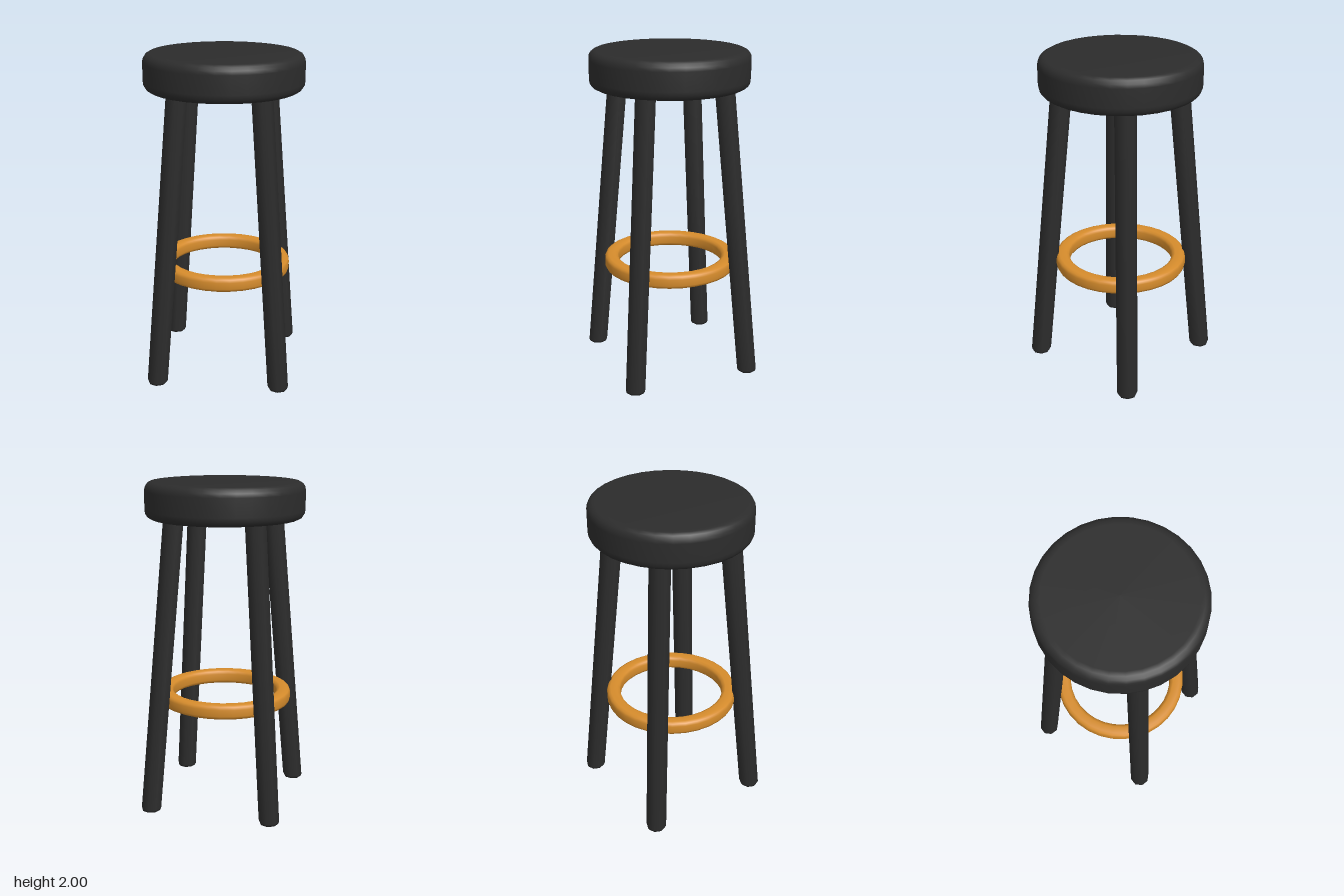
import * as THREE from 'three';

const black = new THREE.MeshStandardMaterial({ color: 0x2c2c2c });
black.name = 'matte black';
const amber = new THREE.MeshStandardMaterial({ color: 0xd68c2c });
amber.name = 'amber';

function lathe(name, points, segments, material) {
  const profile = points.map(([r, y]) => new THREE.Vector2(r, y));
  const mesh = new THREE.Mesh(new THREE.LatheGeometry(profile, segments), material);
  mesh.name = name;
  return mesh;
}

export function createModel() {
  const model = new THREE.Group();
  model.name = 'barStool';

  // Round seat with softened rims
  model.add(lathe('seat', [
    [0, 1.78], [0.42, 1.78], [0.445, 1.782], [0.465, 1.793], [0.477, 1.812], [0.48, 1.835],
    [0.48, 1.945], [0.477, 1.968], [0.465, 1.987], [0.445, 1.998], [0.42, 2], [0, 2],
  ], 32, black));

  // Four eight-sided legs, splayed outwards along the diagonals
  const top = 1.82;
  for (const sx of [-1, 1]) {
    for (const sz of [-1, 1]) {
      const leg = lathe('leg', [
        [0, 0], [0.042, 0], [0.056, 0.006], [0.063, 0.022], [0.063, top], [0, top],
      ], 8, black);
      const p = leg.geometry.attributes.position;
      for (let i = 0; i < p.count; i++) {
        const offset = 0.374 - 0.072 * p.getY(i);
        p.setXYZ(i, p.getX(i) + sx * offset, p.getY(i), p.getZ(i) + sz * offset);
      }
      model.add(leg);
    }
  }

  // Foot ring with a bevelled tube section
  const tube = [[0, -0.044], [0.02, -0.044], [0.036, -0.036], [0.043, -0.02], [0.043, 0.02],
    [0.036, 0.036], [0.02, 0.044], [-0.02, 0.044], [-0.036, 0.036], [-0.043, 0.02],
    [-0.043, -0.02], [-0.036, -0.036], [-0.02, -0.044], [0, -0.044]];
  model.add(lathe('footRing', tube.map(([r, y]) => [0.366 + r, 0.682 + y]), 32, amber));

  return model;
}
